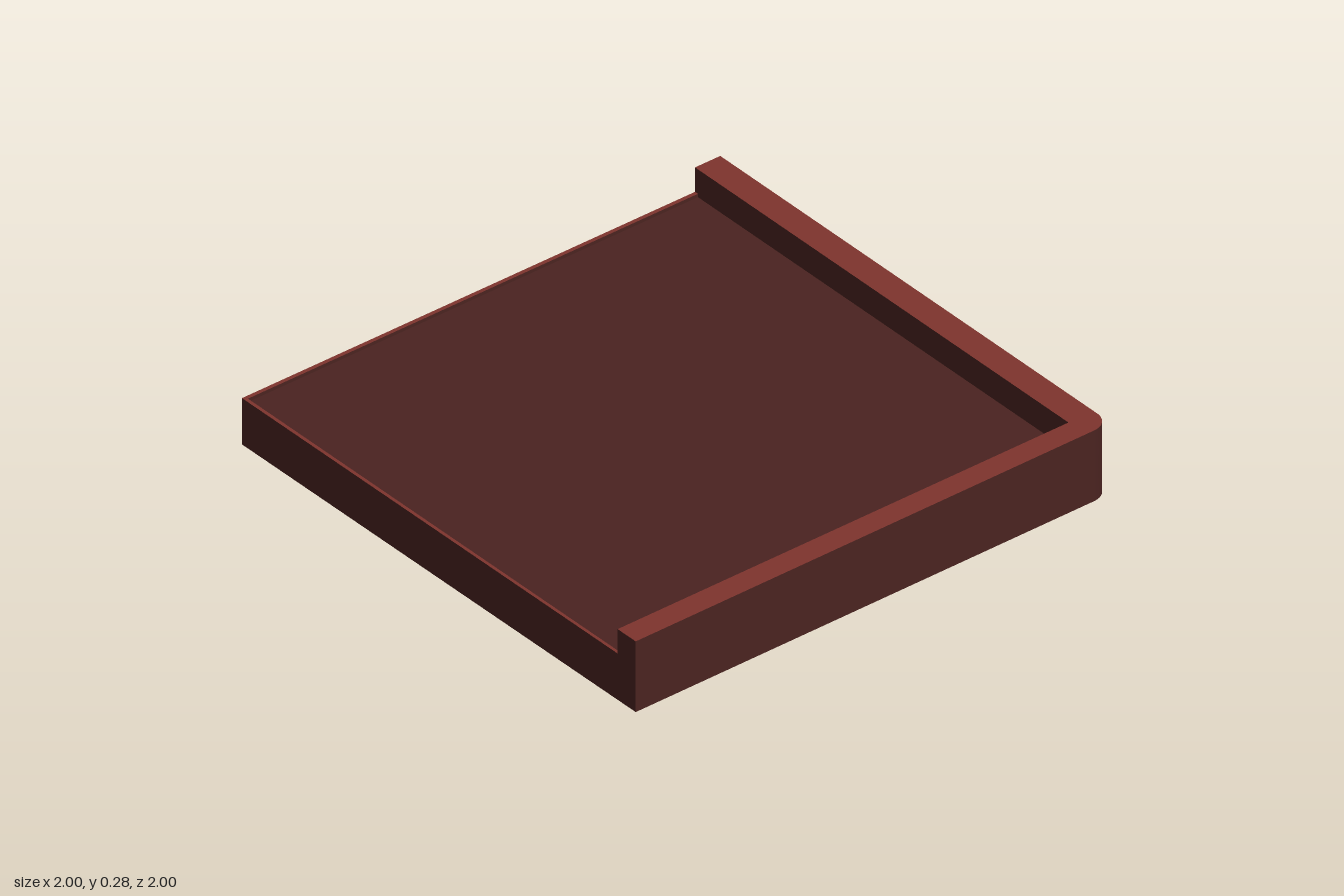
import * as THREE from 'three';
import { toCreasedNormals } from 'three/addons/utils/BufferGeometryUtils.js';

const FLOOR = 0.167, LIP = 0.18, WALL = 0.275, R = 0.07;

const dark = new THREE.MeshStandardMaterial({ color: 0x4a2320 });
const light = new THREE.MeshStandardMaterial({ color: 0x7e342d });

// Plan corners, slightly out of square: [x, z]
const BL = [-1, -0.995], BR = [0.99, -1], FR = [1, 0.985], FL = [-1, 0.995];

// Plan outline; corner BR is rounded
function outline(points) {
  const s = new THREE.Shape();
  points.forEach(([x, z], i) => {
    if (x === BR[0] && z === BR[1]) {
      s.lineTo(x, -z - R);
      s.absarc(x - R, -z - R, R, 0, Math.PI / 2, false);
    } else if (i === 0) s.moveTo(x, -z);
    else s.lineTo(x, -z);
  });
  s.closePath();
  return s;
}

// Upright slab from y0 to y1 over a plan outline
function slab(name, points, y0, y1, capMaterial) {
  const raw = new THREE.ExtrudeGeometry(outline(points), { depth: y1 - y0, bevelEnabled: false, curveSegments: 12 });
  raw.rotateX(-Math.PI / 2).translate(0, y0, 0);
  const mesh = new THREE.Mesh(toCreasedNormals(raw, 0.6), [capMaterial, dark]);
  mesh.name = name;
  return mesh;
}

export function createModel() {
  const group = new THREE.Group();
  group.name = 'tray';

  // Solid base with the sunken floor on top
  group.add(slab('base', [FL, FR, BR, BL], 0, FLOOR, dark));

  // Tall L-shaped wall along the back and the left side
  group.add(slab('wall', [FR, BR, BL, [-1, -0.89], [0.902, -0.895], [0.908, 0.9855]], FLOOR, WALL, light));

  // Thin low lips along the front and the right side
  group.add(slab('lip', [FL, [0.908, 0.9855], [0.908, 0.974], [-0.985, 0.982], [-0.985, -0.89], [-1, -0.89]], FLOOR, LIP, light));

  return group;
}
